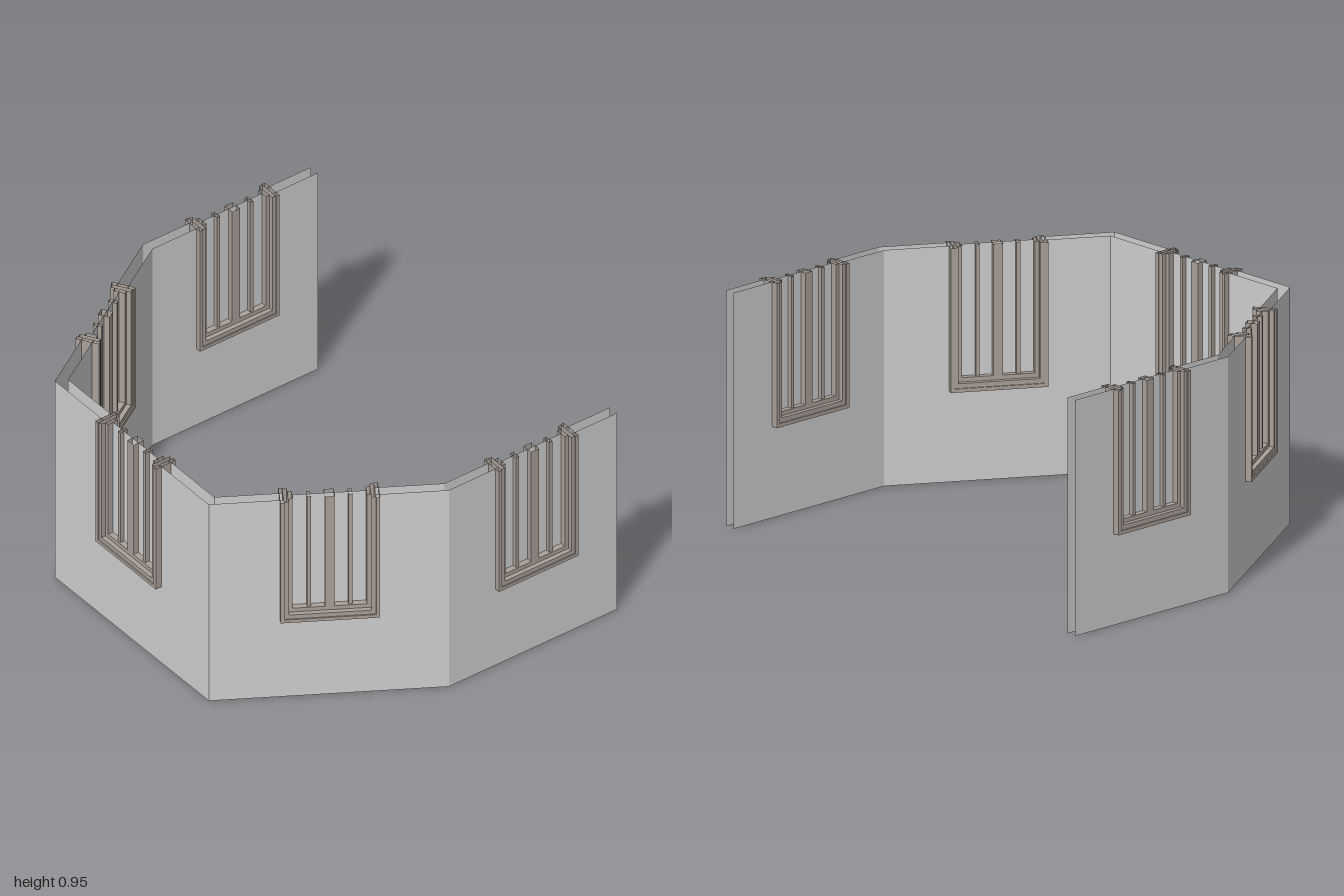
import * as THREE from 'three';

const TOP = 0.95;
const wallMat = new THREE.MeshStandardMaterial({ color: 0xd0d0d0, side: THREE.DoubleSide });
wallMat.name = 'wall grey';
const trimMat = new THREE.MeshStandardMaterial({ color: 0xaaa098, side: THREE.DoubleSide });
trimMat.name = 'window trim';

function add(parent, name, geometry, material, x = 0, y = 0, z = 0) {
  const mesh = new THREE.Mesh(geometry, material);
  mesh.name = name;
  mesh.position.set(x, y, z);
  parent.add(mesh);
  return mesh;
}

// upright hollow post, cut open at the top and bottom
function post(parent, name, x0, x1, y0, depth) {
  const shape = new THREE.BoxGeometry(x1 - x0, TOP - y0, depth);
  const sides = [...shape.index.array].filter((_, i) => i < 12 || i >= 24);
  shape.setIndex(sides);
  shape.clearGroups();
  add(parent, name, shape, trimMat, (x0 + x1) / 2, (y0 + TOP) / 2, 0);
}

// window facing local +z, reaching up to the cut-off top
function makeWindow() {
  const g = new THREE.Group();
  g.name = 'window';
  // nested U-shaped bands: [outer half width, inner half width, bottom, top of sill, depth]
  const bands = [
    ['trim', 0.192, 0.177, 0.368, 0.383, 0.096],
    ['casing', 0.177, 0.16, 0.383, 0.402, 0.086],
    ['sash', 0.16, 0.143, 0.402, 0.42, 0.048],
  ];
  for (const [name, a, b, y0, y1, depth] of bands) {
    add(g, name + 'Sill', new THREE.BoxGeometry(2 * a, y1 - y0, depth), trimMat, 0, (y0 + y1) / 2, 0);
    for (const s of [-1, 1]) {
      post(g, name + 'Side', Math.min(s * a, s * b), Math.max(s * a, s * b), y0, depth);
    }
  }
  post(g, 'centrePost', -0.019, 0.019, 0.42, 0.048);
  for (const s of [-1, 1]) post(g, 'glazingBar', s * 0.08 - 0.0075, s * 0.08 + 0.0075, 0.42, 0.036);
  add(g, 'pane', new THREE.PlaneGeometry(0.29, TOP - 0.415), wallMat, 0, (TOP + 0.415) / 2, 0);
  return g;
}

// flat wall sheet from a to b, notched around the window centre c
function wallSheet(parent, name, a, b, c) {
  const dir = b.clone().sub(a);
  const len = dir.length();
  dir.normalize();
  const m = c.clone().sub(a).dot(dir);
  const w = 0.178, sill = 0.382;
  const s = new THREE.Shape([
    [0, 0], [len, 0], [len, TOP], [m + w, TOP], [m + w, sill], [m - w, sill], [m - w, TOP], [0, TOP],
  ].map(([x, y]) => new THREE.Vector2(x, y)));
  const mesh = add(parent, name, new THREE.ShapeGeometry(s), wallMat, a.x, 0, a.y);
  mesh.rotation.y = Math.atan2(-dir.y, dir.x);
}

export function createModel() {
  const model = new THREE.Group();
  model.name = 'bayWall';
  const mirror = (pts) => [...pts, ...pts.map(([x, z]) => [x, -z]).reverse()]
    .map(([x, z]) => new THREE.Vector2(x, z + 0.003));

  // plan outlines of the two wall skins, and the window centres
  const outer = mirror([[0.81, 0.974], [0, 0.974], [-0.79, 0.49]]);
  const inner = mirror([[0.81, 0.93], [0.012, 0.93], [-0.745, 0.466]]);
  const centres = [[0.416, 0.952], [-0.376, 0.712], [-0.77, 0], [-0.376, -0.712], [0.416, -0.952]]
    .map(([x, z]) => new THREE.Vector2(x, z));

  centres.forEach((c, i) => {
    wallSheet(model, 'outerWall', outer[i], outer[i + 1], c);
    wallSheet(model, 'innerWall', inner[i], inner[i + 1], c);
    const d = outer[i + 1].clone().sub(outer[i]);
    const win = makeWindow();
    win.position.set(c.x, 0, c.y);
    win.rotation.y = Math.atan2(-d.y, d.x);
    model.add(win);
  });
  return model;
}
